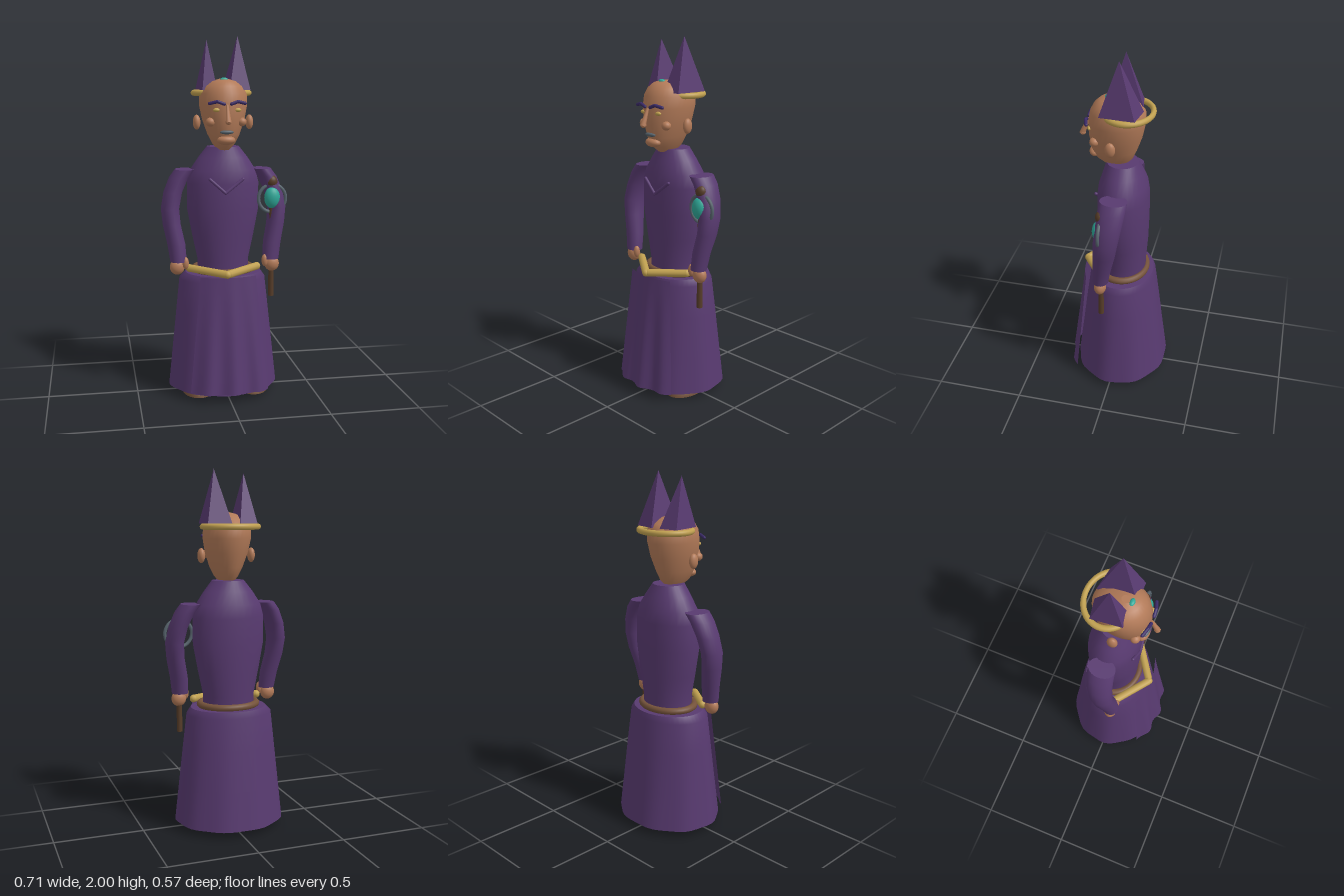
import * as THREE from 'three';

const mat = (name, color, side = THREE.FrontSide) => {
  const m = new THREE.MeshStandardMaterial({ color, side });
  m.name = name;
  return m;
};

export function createModel() {
  const root = new THREE.Group();
  const cloth = mat('purple cloth', 0x583a70, THREE.DoubleSide);
  const skin = mat('skin', 0xb27a58);
  const gold = mat('gold', 0xc0a050);
  const brown = mat('brown leather', 0x74523a);
  const wood = mat('dark wood', 0x563c28);
  const teal = mat('teal gem', 0x2fa898);
  const steel = mat('steel', 0x56636c);
  const indigo = mat('indigo', 0x3a2a66);

  const add = (name, geo, material, pos = [0, 0, 0], parent = root) => {
    const m = new THREE.Mesh(geo, material);
    m.name = name;
    m.position.set(...pos);
    parent.add(m);
    return m;
  };
  const ball = (name, material, pos, radii) => {
    const m = add(name, new THREE.SphereGeometry(1, 20, 14), material, pos);
    m.scale.set(...radii);
    return m;
  };
  // Round rod through straight segments
  const rod = (name, material, pts, r) => {
    const path = new THREE.CurvePath();
    const v = pts.map(p => new THREE.Vector3(...p));
    for (let i = 1; i < v.length; i++) path.add(new THREE.LineCurve3(v[i - 1], v[i]));
    const m = add(name, new THREE.TubeGeometry(path, 24, r, 10), material);
    for (const p of v) add(name + 'Joint', new THREE.SphereGeometry(r, 10, 8), material, p.toArray());
    return m;
  };
  // Skin over elliptical rings [x, y, z, rx, rz] from bottom to top, with sharp flat ends
  const loft = (rings, n = 28, wave = () => 1) => {
    const a = rings[0], b = rings[rings.length - 1];
    const all = [[a[0], a[1], a[2], 0, 0], a, ...rings, b, [b[0], b[1], b[2], 0, 0]];
    const pos = [], idx = [];
    for (const [x, y, z, rx, rz] of all) {
      for (let i = 0; i < n; i++) {
        const t = (i / n) * Math.PI * 2, w = wave(t, y);
        pos.push(x + Math.cos(t) * rx * w, y, z + Math.sin(t) * rz * w);
      }
    }
    for (let j = 0; j < all.length - 1; j++) {
      for (let i = 0; i < n; i++) {
        const p = j * n + i, q = j * n + (i + 1) % n;
        idx.push(p, p + n, q, q, p + n, q + n);
      }
    }
    const g = new THREE.BufferGeometry();
    g.setAttribute('position', new THREE.Float32BufferAttribute(pos, 3));
    g.setIndex(idx);
    g.computeVertexNormals();
    return g;
  };

  // Robe skirt with a gently rippled hem
  add('skirt', loft([
    [-0.005, 0.035, -0.02, 0.31, 0.268],
    [-0.005, 0.25, -0.02, 0.288, 0.24],
    [-0.005, 0.48, -0.02, 0.264, 0.212],
    [-0.005, 0.655, -0.02, 0.245, 0.188],
    [0, 0.69, -0.02, 0.215, 0.178],
  ], 48, (t, y) => 1 + 0.015 * (1 - y / 0.69) * Math.sin(t * 9)), cloth);

  // Front panel: a hanging sheet that flares and folds toward the hem
  const panel = new THREE.PlaneGeometry(1, 1, 24, 10);
  const pp = panel.attributes.position;
  for (let i = 0; i < pp.count; i++) {
    const u = pp.getX(i) * 2, d = 0.5 - pp.getY(i);
    const fold = d * 0.012 * Math.cos(u * 9 - 0.9);
    const z = 0.198 + 0.077 * d - u * u * (0.035 + 0.022 * d) + fold;
    pp.setXYZ(i, u * (0.155 + 0.063 * d), 0.695 - 0.645 * d, z);
  }
  panel.computeVertexNormals();
  add('frontPanel', panel, cloth);

  // Torso
  add('torso', loft([
    [0, 0.67, -0.025, 0.148, 0.125],
    [0, 0.76, -0.025, 0.145, 0.128],
    [0, 0.9, -0.025, 0.175, 0.137],
    [0, 1.05, -0.023, 0.203, 0.142],
    [0, 1.2, -0.023, 0.203, 0.142],
    [0, 1.27, -0.022, 0.185, 0.132],
    [0, 1.34, -0.02, 0.138, 0.108],
    [0, 1.4, -0.017, 0.09, 0.086],
  ]), cloth);
  rod('collarChevron', cloth,
    [[-0.092, 1.228, 0.112], [-0.008, 1.153, 0.122], [0.09, 1.228, 0.112]], 0.009);

  // Belt and gold girdle
  const belt = add('belt', new THREE.TorusGeometry(1, 0.13, 12, 40), brown, [0, 0.705, -0.022]);
  belt.rotation.x = Math.PI / 2;
  belt.scale.set(0.16, 0.135, 0.15);
  rod('goldGirdle', gold,
    [[-0.2, 0.725, 0.05], [-0.01, 0.712, 0.19], [0.18, 0.725, 0.06]], 0.022);

  // Arms, hands and feet
  for (const s of [-1, 1]) {
    const side = s > 0 ? 'left' : 'right';
    add(side + 'Sleeve', loft([
      [s * 0.262, 0.765, 0.05, 0.046, 0.043],
      [s * 0.272, 0.86, 0.038, 0.05, 0.05],
      [s * 0.295, 0.97, 0.02, 0.05, 0.06],
      [s * 0.303, 1.06, 0.01, 0.051, 0.067],
      [s * 0.285, 1.15, -0.003, 0.052, 0.071],
      [s * 0.25, 1.23, -0.012, 0.054, 0.075],
      [s * 0.215, 1.275, -0.015, 0.056, 0.075],
    ], 24), cloth);
    ball(side + 'Hand', skin, [s * 0.27, 0.735, 0.05], [0.042, 0.044, 0.034]);
    ball(side + 'Thumb', skin, [s * 0.225, 0.758, 0.068], [0.018, 0.035, 0.018]);
    const foot = add(side + 'Foot', loft([
      [0, 0, 0, 0.088, 0.122], [0, 0.03, 0, 0.088, 0.118], [0, 0.06, 0, 0.06, 0.085],
    ]), brown);
    foot.position.set(s * 0.157, 0, 0.045);
  }

  // Head
  add('head', loft([
    [-0.005, 1.385, 0.025, 0.035, 0.06],
    [-0.005, 1.42, 0.03, 0.062, 0.1],
    [-0.005, 1.47, 0.03, 0.088, 0.122],
    [-0.005, 1.55, 0.023, 0.116, 0.143],
    [-0.005, 1.63, 0.015, 0.132, 0.152],
    [-0.005, 1.69, 0.01, 0.131, 0.146],
    [-0.005, 1.73, 0.015, 0.108, 0.12],
    [-0.005, 1.757, 0.026, 0.07, 0.08],
    [-0.005, 1.77, 0.035, 0.02, 0.025],
  ], 32), skin);
  ball('chin', skin, [-0.007, 1.443, 0.132], [0.05, 0.026, 0.034]);
  ball('mouth', steel, [-0.007, 1.487, 0.152], [0.038, 0.011, 0.014]);
  const nose = add('nose', new THREE.CylinderGeometry(0.007, 0.016, 0.1, 10), skin, [-0.007, 1.585, 0.187]);
  nose.rotation.x = -0.38;
  ball('noseTip', skin, [-0.007, 1.543, 0.202], [0.016, 0.014, 0.016]);
  for (const s of [-1, 1]) {
    const side = s > 0 ? 'left' : 'right', x = v => s * v - 0.005;
    ball(side + 'Ear', skin, [x(0.147), 1.535, 0.02], [0.021, 0.041, 0.028]);
    ball(side + 'Cheek', skin, [x(0.086), 1.54, 0.118], [0.026, 0.024, 0.026]);
    ball(side + 'Eye', gold, [x(0.056), 1.605, 0.149], [0.021, 0.011, 0.012]);
    rod(side + 'Brow', indigo,
      [[x(0.02), 1.637, 0.173], [x(0.055), 1.65, 0.17], [x(0.096), 1.64, 0.157]], 0.009);
  }

  // Circlet, crown gem and two peaked points
  const circlet = add('circlet', new THREE.TorusGeometry(1, 0.11, 12, 48), gold, [-0.005, 1.693, -0.045]);
  circlet.rotation.x = Math.PI / 2;
  circlet.scale.set(0.153, 0.13, 0.15);
  ball('crownGem', teal, [-0.007, 1.764, 0.066], [0.022, 0.012, 0.014]);
  const peak = (name, apex, base) => {
    const pts = [];
    for (let i = 0; i < 4; i++) {
      const a = base[i], b = base[(i + 1) % 4];
      pts.push(...a, ...apex, ...b);
    }
    pts.push(...base[0], ...base[1], ...base[2], ...base[0], ...base[2], ...base[3]);
    const g = new THREE.BufferGeometry();
    g.setAttribute('position', new THREE.Float32BufferAttribute(pts, 3));
    g.computeVertexNormals();
    add(name, g, cloth);
  };
  peak('rightPeak', [-0.092, 1.98, -0.012],
    [[-0.142, 1.71, -0.1], [-0.035, 1.71, -0.118], [-0.045, 1.71, 0.072], [-0.125, 1.71, 0.065]]);
  peak('leftPeak', [0.08, 2.0, -0.015],
    [[0.015, 1.71, -0.13], [0.145, 1.71, -0.108], [0.135, 1.71, 0.082], [0.022, 1.71, 0.08]]);

  // Sceptre held in the left hand
  const sx = 0.268, sz = 0.046;
  add('sceptreShaft', new THREE.CylinderGeometry(0.013, 0.016, 0.62, 14), wood, [sx, 0.855, sz]);
  ball('sceptreGem', teal, [sx, 1.113, sz + 0.008], [0.045, 0.061, 0.035]);
  add('sceptreRing', new THREE.TorusGeometry(0.078, 0.01, 10, 40), steel, [sx + 0.003, 1.107, sz - 0.006]);
  ball('sceptreKnob', wood, [sx, 1.202, sz - 0.004], [0.032, 0.036, 0.028]);

  return root;
}
